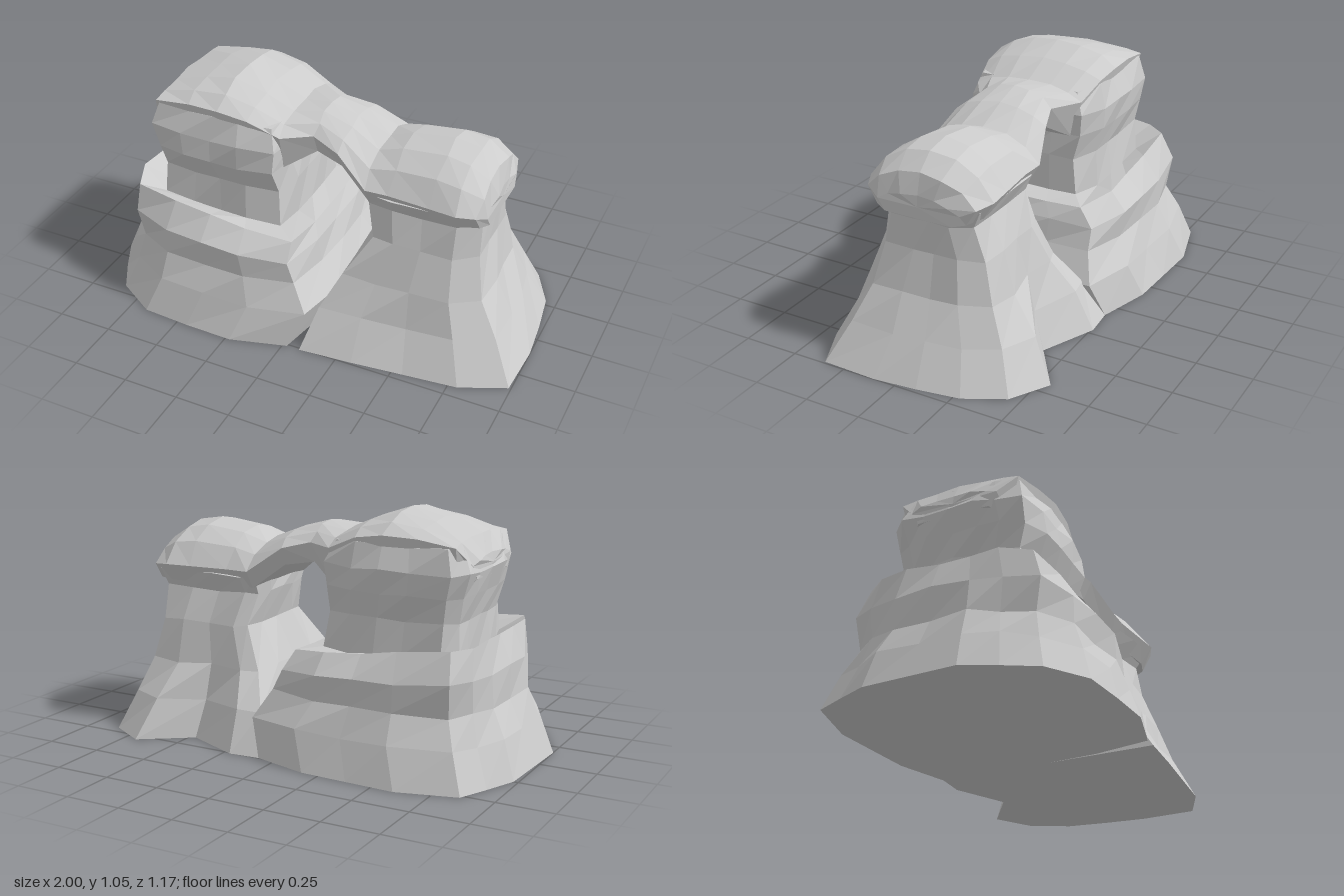
import * as THREE from 'three';

const rock = new THREE.MeshStandardMaterial({ color: 0xcccccc, flatShading: true });

// Skin a stack of equal-length rings and close both ends at the given points
function loft(name, rings, startCap, endCap) {
  const n = rings[0].length;
  const verts = [...rings.flat(), startCap, endCap];
  const s = rings.length * n, e = s + 1, index = [];
  for (let i = 0; i < n; i++) {
    const j = (i + 1) % n, top = (rings.length - 1) * n;
    for (let k = 0; k < rings.length - 1; k++) {
      const a = k * n + i, b = k * n + j;
      index.push(a, a + n, b, b, a + n, b + n);
    }
    index.push(s, i, j, e, top + j, top + i);
  }
  const geo = new THREE.BufferGeometry().setFromPoints(verts);
  geo.setIndex(index);
  const flat = geo.toNonIndexed();
  flat.computeVertexNormals();
  const mesh = new THREE.Mesh(flat, rock);
  mesh.name = name;
  return mesh;
}

// Push a direction (u, v) out to a nearly square outline of half-width 1
function squareOff(u, v) {
  const r = (u ** 10 + v ** 10) ** 0.1;
  return [u / r, v / r];
}

// Small repeatable unevenness
const rough = (i, k) => 0.006 * Math.sin(i * 2.3 + k * 4.1);

// Stack of levels [y, x0, x1, z0, z1, squareness, slope], each a fitted
// version of the footprint that blends towards a rounded rectangle
function stack(name, footprint, levels, peak) {
  const xs = footprint.map(p => p[0]), zs = footprint.map(p => p[1]);
  const fit = (v, all) => {
    const lo = Math.min(...all), hi = Math.max(...all);
    return (2 * (v - lo)) / (hi - lo) - 1;
  };
  const rings = levels.map(([y, x0, x1, z0, z1, m, slope = 0], k) =>
    footprint.map(([px, pz], i) => {
      const u = fit(px, xs), v = fit(pz, zs);
      const [su, sv] = squareOff(u, v);
      const fu = u + (su - u) * m, fv = v + (sv - v) * m;
      const x = (x0 + x1) / 2 + (fu * (x1 - x0)) / 2;
      const z = (z0 + z1) / 2 + (fv * (z1 - z0)) / 2;
      const r = k ? rough(i, k) : 0;
      return new THREE.Vector3(x + r * u, y + slope * (x + 0.4) + r, z + r * v);
    }));
  const [, x0, x1, z0, z1] = levels[0];
  const base = new THREE.Vector3((x0 + x1) / 2, 0, (z0 + z1) / 2);
  return loft(name, rings, base, new THREE.Vector3(...peak));
}

export function createModel() {
  const group = new THREE.Group();
  group.name = 'rockArch';

  // Tall pillar rising out of a broad ledged base
  const tallFoot = [
    [0.08, 0.02], [0.07, 0.25], [0.02, 0.51], [-0.23, 0.58], [-0.45, 0.575],
    [-0.67, 0.56], [-0.85, 0.45], [-0.93, 0.31], [-1, 0.17], [-0.99, -0.04],
    [-0.98, -0.25], [-0.92, -0.39], [-0.86, -0.52], [-0.6, -0.59],
    [-0.38, -0.58], [-0.17, -0.57], [0.08, -0.5], [0.08, -0.24],
  ];
  group.add(stack('tallPillar', tallFoot, [
    [0, -1, 0.08, -0.59, 0.58, 0],
    [0.16, -0.94, 0.14, -0.53, 0.52, 0.05],
    [0.28, -0.88, 0.06, -0.47, 0.47, 0.15],
    [0.4, -0.87, 0.03, -0.475, 0.475, 0.35, -0.05],
    [0.5, -0.82, 0, -0.39, 0.39, 1, -0.13],
    [0.47, -0.72, -0.1, -0.3, 0.3, 1, -0.05],
    [0.62, -0.72, -0.11, -0.28, 0.28, 0.9],
    [0.73, -0.75, -0.12, -0.31, 0.33, 0.7],
    [0.83, -0.775, -0.11, -0.32, 0.32, 0.8],
    [0.93, -0.73, -0.14, -0.28, 0.28, 1],
  ], [-0.4, 0.96, 0]));

  // Short pillar with a flared foot and narrow neck
  const shortFoot = [
    [1, 0.1], [0.99, 0.35], [0.79, 0.44], [0.55, 0.465], [0.32, 0.49],
    [0.08, 0.51], [0.08, 0.25], [0.08, 0], [0.08, -0.25], [0.08, -0.5],
    [0.22, -0.51], [0.47, -0.4], [0.69, -0.55], [0.86, -0.45],
    [0.95, -0.28], [0.98, -0.09],
  ];
  group.add(stack('shortPillar', shortFoot, [
    [0, 0.08, 1, -0.55, 0.51, 0],
    [0.17, 0.12, 0.9, -0.45, 0.4, 0.15],
    [0.32, 0.19, 0.81, -0.34, 0.325, 0.6],
    [0.5, 0.28, 0.76, -0.28, 0.25, 0.9],
    [0.64, 0.25, 0.76, -0.22, 0.21, 1],
    [0.72, 0.25, 0.78, -0.26, 0.26, 1],
  ], [0.52, 0.78, 0]));

  // Crown running over both pillars and bridging the gap between them:
  // [x, underside, eave height, ridge height, half depth]
  const spans = [
    [-0.765, 0.8, 0.86, 0.89, 0.2], [-0.71, 0.76, 0.94, 0.965, 0.275],
    [-0.55, 0.76, 0.965, 1.02, 0.285], [-0.4, 0.76, 0.97, 1.055, 0.295],
    [-0.26, 0.74, 0.95, 1.01, 0.285], [-0.13, 0.72, 0.89, 0.95, 0.26],
    [0, 0.8, 0.89, 0.965, 0.18], [0.13, 0.78, 0.86, 0.93, 0.22],
    [0.27, 0.67, 0.75, 0.87, 0.27], [0.38, 0.67, 0.75, 0.91, 0.265],
    [0.57, 0.67, 0.75, 0.935, 0.28], [0.68, 0.67, 0.75, 0.915, 0.29],
    [0.765, 0.67, 0.74, 0.85, 0.255], [0.79, 0.66, 0.71, 0.76, 0.19],
  ];
  // Half section from eave to ridge: [share of depth, share of rise]
  const arc = [[1, 0], [0.75, 0.55], [0.4, 0.88], [0, 1]];
  const section = [...arc, ...arc.slice(0, 3).reverse().map(([u, h]) => [-u, h])];
  const rings = spans.map(([x, under, eave, ridge, d], k) => [
    ...section.map(([u, h], i) =>
      new THREE.Vector3(x + rough(i, k), eave + (ridge - eave) * h, u * d)),
    ...[-0.82, 0, 0.82].map(u => new THREE.Vector3(x, under, u * d)),
  ]);
  group.add(loft('crownAndBridge', rings,
    new THREE.Vector3(-0.77, 0.85, 0), new THREE.Vector3(0.79, 0.71, 0)));

  return group;
}
